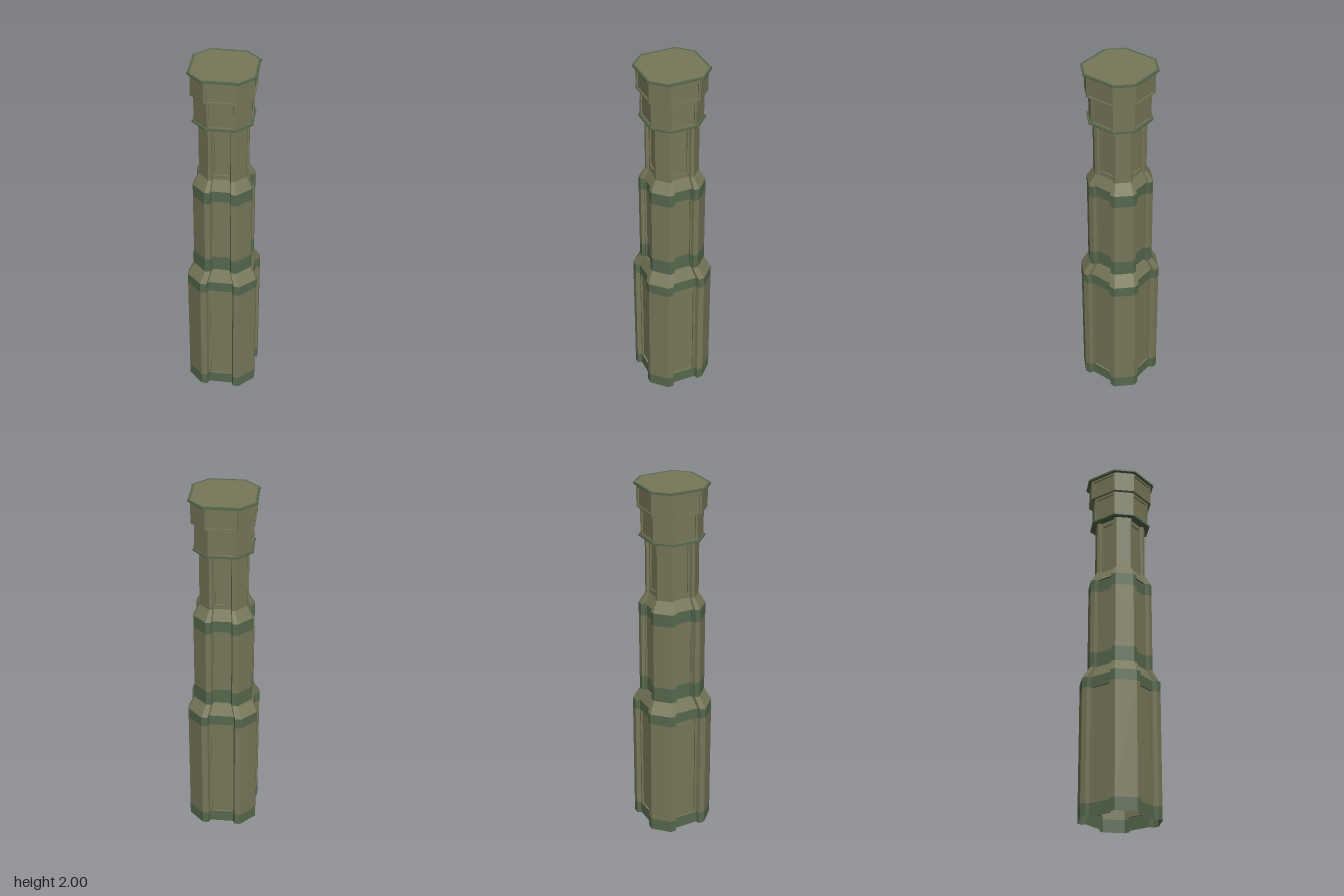
import * as THREE from 'three';

const olive = new THREE.MeshStandardMaterial({ color: 0x77775a, flatShading: true, side: THREE.DoubleSide });
const green = new THREE.MeshStandardMaterial({ color: 0x56684d, flatShading: true, side: THREE.DoubleSide });

// Cross-section sizes: F pilaster face distance, h its half width, c its chamfer,
// D diagonal wall distance, p half width of the panel on that wall
const lower = { F: 0.21, h: 0.057, c: 0.023, D: 0.166, p: 0.056 };
const middle = { F: 0.17, h: 0.05, c: 0.02, D: 0.137, p: 0.044 };
const upper = { F: 0.135, h: 0.04, c: 0.012, D: 0.11, p: 0.035 };
const octagon = (F, h) => ({ F, h, c: 0.003, D: (F + h) / Math.SQRT2 - 0.002, p: (F - h) / Math.SQRT2 - 0.012 });
const flange = octagon(0.163, 0.056);
const collar = octagon(0.153, 0.054);
const head = octagon(0.172, 0.056);
const rim = octagon(0.188, 0.058);
const lid = octagon(0.177, 0.051);

// Four-fold ring of [x, z] points; d is the depth of the panel recess
function ring({ F, h, c, D, p }, d) {
  const t = (F + h - D * Math.SQRT2) / 1.3;
  const half = [
    [h, F],
    [h + c, F - c],
    [h + c - 0.4 * t, F - c - 0.9 * t],
    [(D - p) / Math.SQRT2, (D + p) / Math.SQRT2],
    [(D - d - p) / Math.SQRT2, (D - d + p) / Math.SQRT2],
  ];
  let quarter = [...half, ...half.map(([x, z]) => [z, x]).reverse()];
  const points = [];
  for (let q = 0; q < 4; q++) {
    points.push(...quarter);
    quarter = quarter.map(([x, z]) => [z, -x]);
  }
  return points;
}

// Skin through rows of [y, section, recess depth]
function loft(name, material, rows) {
  const rings = rows.map(([y, section, d = 0]) => ring(section, d).map(([x, z]) => [x, y, z]));
  const positions = [];
  for (let r = 0; r + 1 < rings.length; r++) {
    const n = rings[r].length;
    for (let i = 0; i < n; i++) {
      const j = (i + 1) % n;
      const a = rings[r][i], b = rings[r][j], c = rings[r + 1][j], e = rings[r + 1][i];
      positions.push(...a, ...b, ...c, ...a, ...c, ...e);
    }
  }
  const geometry = new THREE.BufferGeometry();
  geometry.setAttribute('position', new THREE.Float32BufferAttribute(positions, 3));
  geometry.computeVertexNormals();
  const mesh = new THREE.Mesh(geometry, material);
  mesh.name = name;
  return mesh;
}

export function createModel() {
  const tower = new THREE.Group();
  tower.name = 'tower';

  // Lower stage with panels between its end bands
  tower.add(loft('baseBand', green, [[0, lower], [0.07, lower]]));
  tower.add(loft('lowerShaft', olive, [[0.07, lower], [0.07, lower, 0.01], [0.695, lower, 0.01], [0.695, lower]]));
  tower.add(loft('lowerTopBand', green, [[0.695, lower], [0.755, lower]]));
  tower.add(loft('lowerShoulder', olive, [[0.755, lower], [0.82, middle], [0.82, middle, 0.009]]));

  // Middle stage, grooved over its full height
  tower.add(loft('middleBottomBand', green, [[0.82, middle, 0.009], [0.905, middle, 0.009]]));
  tower.add(loft('middleShaft', olive, [[0.905, middle, 0.009], [1.27, middle, 0.009]]));
  tower.add(loft('middleTopBand', green, [[1.27, middle, 0.009], [1.34, middle, 0.009], [1.34, middle]]));
  tower.add(loft('middleShoulder', olive, [[1.34, middle], [1.4, upper]]));

  // Upper stage with framed panels
  tower.add(loft('upperShaft', olive, [
    [1.4, upper], [1.425, upper], [1.425, upper, 0.008], [1.69, upper, 0.008], [1.69, upper], [1.715, upper],
  ]));

  // Overhanging head: flange, collar, wider drum and rim
  tower.add(loft('flange', green, [[1.715, upper], [1.715, flange], [1.724, flange], [1.724, collar]]));
  tower.add(loft('collar', olive, [
    [1.724, collar], [1.73, collar], [1.73, collar, 0.007], [1.855, collar, 0.007], [1.855, collar], [1.87, collar],
  ]));
  tower.add(loft('headDrum', olive, [
    [1.87, collar], [1.87, head], [1.88, head], [1.88, head, 0.007], [1.975, head, 0.007], [1.975, head], [1.987, head],
  ]));
  tower.add(loft('rim', green, [[1.987, head], [1.99, rim], [2, rim], [2, lid]]));

  // Flat lid
  const outline = new THREE.Shape(ring(lid, 0).map(([x, z]) => new THREE.Vector2(x, -z)));
  const top = new THREE.Mesh(new THREE.ShapeGeometry(outline).rotateX(-Math.PI / 2), olive);
  top.name = 'lid';
  top.position.y = 2;
  tower.add(top);

  return tower;
}
